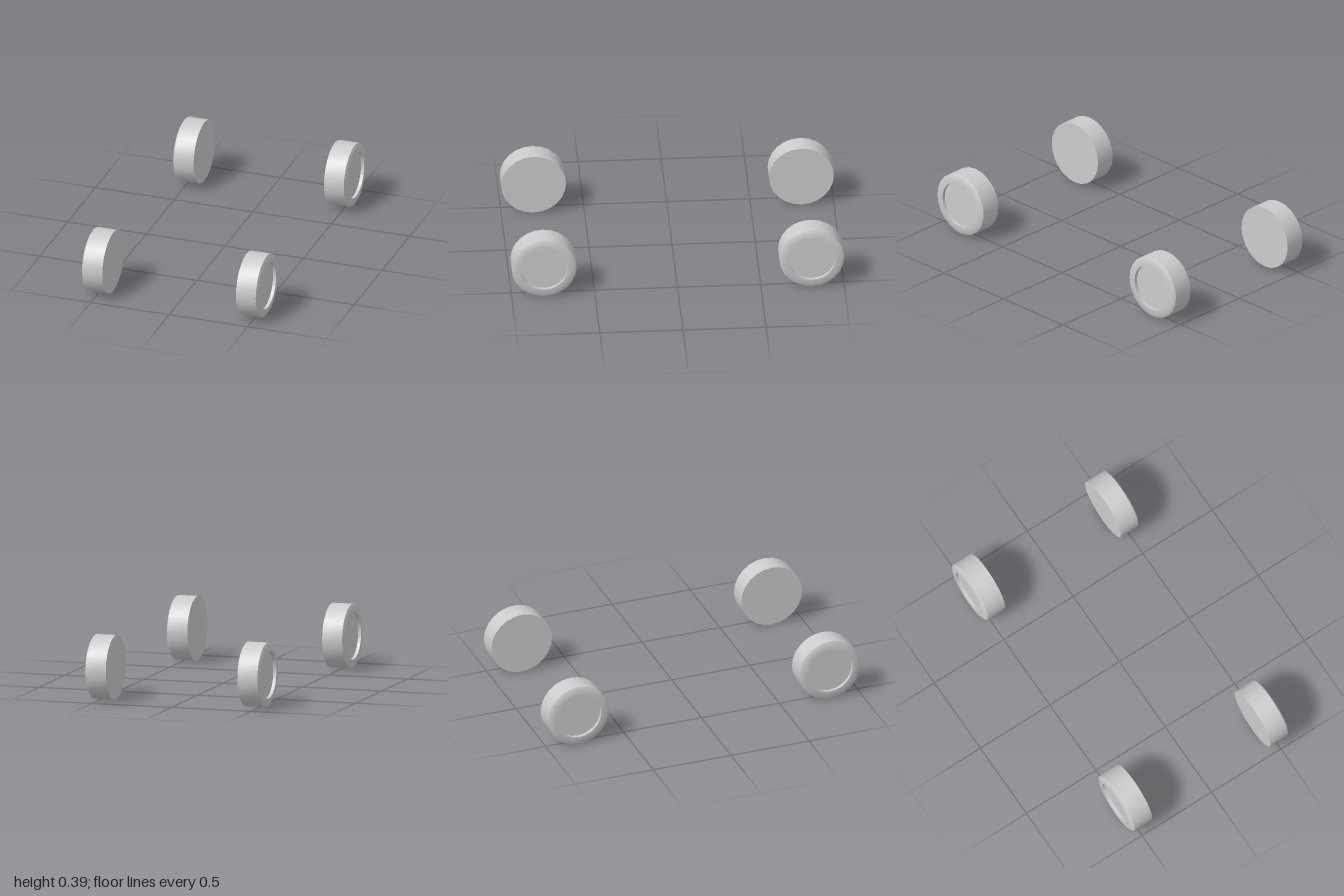
import * as THREE from 'three';
import { toCreasedNormals } from 'three/addons/utils/BufferGeometryUtils.js';

const RADIUS = 0.195;
const WIDTH = 0.137;

// Wheel turned about its axle: flat inner cap, tread, chamfer, recessed hub
function wheelGeometry() {
  const profile = [
    [0, 0],
    [RADIUS, 0],
    [RADIUS, WIDTH - 0.011],
    [0.175, WIDTH],
    [0.142, WIDTH],
    [0.142, WIDTH - 0.02],
    [0, WIDTH - 0.02],
  ].map(([r, h]) => new THREE.Vector2(r, h));
  const lathe = new THREE.LatheGeometry(profile, 24);
  return toCreasedNormals(lathe, Math.PI / 6);
}

export function createModel() {
  const model = new THREE.Group();
  model.name = 'wheelSet';
  const material = new THREE.MeshStandardMaterial({ color: 0xcccccc });
  const geometry = wheelGeometry();

  // The front pair sits slightly wider apart than the rear pair
  const axles = [
    { name: 'front', z: 0.805, innerX: 0.425 },
    { name: 'rear', z: -0.805, innerX: 0.415 },
  ];
  for (const { name, z, innerX } of axles) {
    for (const side of [1, -1]) {
      const wheel = new THREE.Mesh(geometry, material);
      wheel.name = name + (side > 0 ? 'Left' : 'Right') + 'Wheel';
      wheel.rotation.z = -side * Math.PI / 2; // recessed hub faces outward
      wheel.position.set(side * innerX, RADIUS, z);
      model.add(wheel);
    }
  }
  return model;
}
